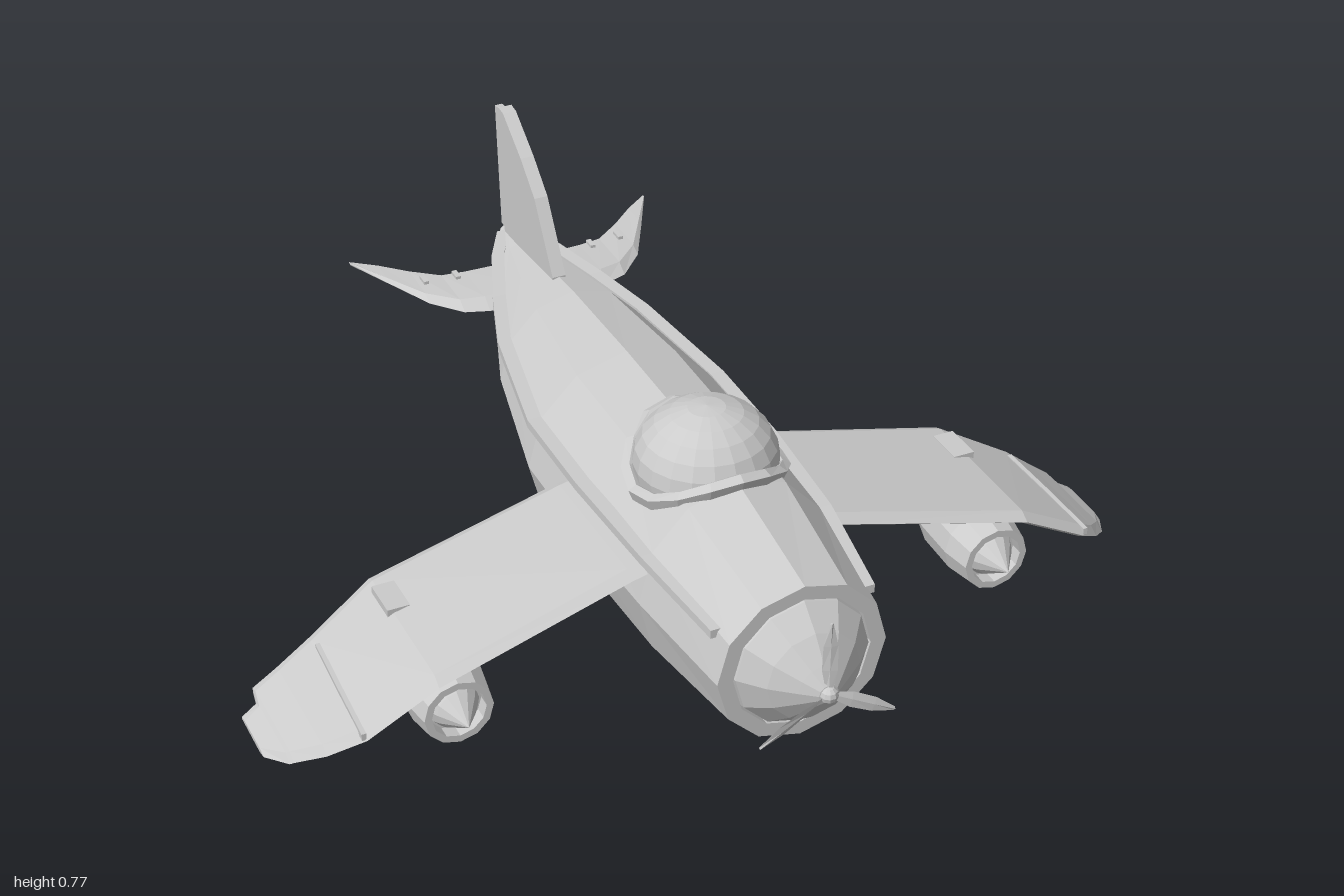
import * as THREE from 'three';

const material = new THREE.MeshStandardMaterial({ color: 0xcccccc, flatShading: true, side: THREE.DoubleSide });

// Swap two corners of every triangle
function flip(g) {
  const p = g.attributes.position;
  const a = new THREE.Vector3(), b = new THREE.Vector3();
  for (let i = 0; i < p.count; i += 3) {
    a.fromBufferAttribute(p, i + 1);
    b.fromBufferAttribute(p, i + 2);
    p.setXYZ(i + 1, b.x, b.y, b.z);
    p.setXYZ(i + 2, a.x, a.y, a.z);
  }
  g.computeVertexNormals();
  return g;
}

// Skin a row of equal-length loops of [x, y, z]; closed joins the last loop to the first
function loft(loops, closed = false) {
  const out = [], n = loops[0].length, m = loops.length;
  for (let i = 0; i < (closed ? m : m - 1); i++) {
    const A = loops[i], B = loops[(i + 1) % m];
    for (let j = 0; j < n; j++) {
      const k = (j + 1) % n;
      out.push(A[j], B[j], B[k], A[j], B[k], A[k]);
    }
  }
  if (!closed) for (const [L, end] of [[loops[0], false], [loops[m - 1], true]]) {
    const c = [0, 1, 2].map(d => L.reduce((s, p) => s + p[d], 0) / n);
    for (let j = 0; j < n; j++) {
      const k = (j + 1) % n;
      out.push(...(end ? [c, L[k], L[j]] : [c, L[j], L[k]]));
    }
  }
  const g = new THREE.BufferGeometry();
  g.setAttribute('position', new THREE.Float32BufferAttribute(out.flat(), 3));
  // Signed volume tells whether the faces point outwards
  let volume = 0;
  const v = out.map(p => new THREE.Vector3(...p));
  for (let i = 0; i < v.length; i += 3) volume += v[i].dot(v[i + 1].clone().cross(v[i + 2]));
  if (volume < 0) flip(g);
  g.computeVertexNormals();
  return g;
}

// Square bar along a list of points
const bar = (pts, w, h) => loft(pts.map(([x, y, z]) =>
  [[x - w, y - h, z], [x + w, y - h, z], [x + w, y + h, z], [x - w, y + h, z]]));

// Ring in the XY plane: half width, half height, centre height, depth
const ring = (rx, ry, cy, z, n = 12) => Array.from({ length: n }, (_, i) => {
  const a = i / n * Math.PI * 2;
  return [rx * Math.sin(a), cy + ry * Math.cos(a), z];
});

// Turned part whose axis runs along z; profile points are [radius, z]
const turned = (profile, n) => new THREE.LatheGeometry(profile.map(p => new THREE.Vector2(...p)), n)
  .rotateX(Math.PI / 2);

export function createModel() {
  const model = new THREE.Group();
  const add = (name, g, parent = model) => {
    const mesh = new THREE.Mesh(g, material);
    mesh.name = name;
    parent.add(mesh);
    return mesh;
  };
  const addPair = (name, g) => {
    const left = g.index ? g.toNonIndexed() : g;
    add(name + 'Left', left);
    add(name + 'Right', flip(left.clone().scale(-1, 1, 1)));
  };

  // Fuselage, starting inside the recessed nose ring
  add('fuselage', loft([
    [0.155, 0.155, 0.255, 0.69], [0.155, 0.155, 0.255, 0.725],
    [0.19, 0.187, 0.255, 0.725], [0.222, 0.24, 0.26, 0.42],
    [0.236, 0.24, 0.26, 0.13], [0.236, 0.24, 0.26, -0.13],
    [0.182, 0.188, 0.303, -0.42], [0.13, 0.138, 0.34, -0.57],
    [0.07, 0.072, 0.393, -0.71], [0.02, 0.018, 0.442, -0.81],
  ].map(s => ring(...s))));

  // Spinner and propeller
  add('spinner', turned([[0.155, 0.69], [0.15, 0.725], [0.105, 0.775], [0.055, 0.815], [0.022, 0.84], [0, 0.845]], 12)
    .translate(0, 0.255, 0));
  add('propellerHub', new THREE.SphereGeometry(0.02, 10, 6).translate(0, 0.255, 0.84));
  const propeller = new THREE.Group();
  propeller.name = 'propeller';
  propeller.position.set(0, 0.255, 0.84);
  model.add(propeller);
  for (let i = 0; i < 3; i++) {
    const blade = loft([[0.01, 0.007, 0.6], [0.06, 0.016, 0.4], [0.12, 0.015, 0.25], [0.175, 0.004, 0.15]]
      .map(([y, w, twist]) => [[-w, 0], [0, 0.003], [w, 0], [0, -0.003]].map(([u, v]) =>
        [u * Math.cos(twist) - v * Math.sin(twist), y, u * Math.sin(twist) + v * Math.cos(twist)])));
    add('propellerBlade', blade, propeller).rotation.z = i * Math.PI * 2 / 3;
  }

  // Canopy dome and its saddle-shaped rim
  add('canopy', new THREE.SphereGeometry(1, 20, 12).scale(0.156, 0.13, 0.152).translate(0, 0.47, 0.272));
  const rim = Array.from({ length: 16 }, (_, i) => {
    const a = i / 16 * Math.PI * 2, c = Math.cos(a), s = Math.sin(a);
    const y = 0.425 + 0.08 * c * c;
    return [[0.145, -0.02], [0.166, -0.02], [0.178, 0.012], [0.16, 0.022], [0.145, 0.012]]
      .map(([r, h]) => [r * s, y + h, 0.272 + r * c]);
  });
  add('canopyRim', loft(rim, true));

  // Raised rail along each side
  addPair('sideRail', bar([
    [0.168, 0.35, 0.68], [0.203, 0.37, 0.42], [0.22, 0.374, 0.13], [0.22, 0.374, -0.13],
    [0.17, 0.397, -0.42], [0.12, 0.417, -0.57], [0.065, 0.437, -0.71], [0.018, 0.448, -0.79],
  ], 0.016, 0.01));

  // Drooping wings: x, leading z, trailing z, height, half thickness
  const wing = [
    [0.12, 0.42, 0.025, 0.342, 0.017], [0.24, 0.425, 0.03, 0.318, 0.017],
    [0.68, 0.462, 0.058, 0.218, 0.016], [0.835, 0.455, 0.095, 0.132, 0.016],
    [0.905, 0.4, 0.088, 0.075, 0.014], [0.958, 0.342, 0.08, 0.033, 0.012],
    [0.965, 0.335, 0.125, 0.027, 0.012], [1.0, 0.27, 0.13, 0.009, 0.006],
  ];
  addPair('wing', loft(wing.map(([x, f, b, y, t]) => {
    const tilt = z => y + (z - 0.25) * 0.05 * (1 - x * 0.9);
    return [[f, 0], [f - 0.025, t], [b + 0.02, t], [b, t * 0.5], [b, -t * 0.5], [f - 0.025, -t]]
      .map(([z, h]) => [x, tilt(z) + h, z]);
  })));
  addPair('wingFence', bar([[0.84, 0.142, 0.45], [0.835, 0.146, 0.3], [0.828, 0.148, 0.14]], 0.005, 0.008));
  // Small bracket on the upper wing skin
  addPair('wingBracket', bar([[0.668, 0.23, 0.205], [0.668, 0.228, 0.11]], 0.025, 0.013));

  // Underwing engines, hollow at both ends with a cone in each
  const engine = [[0.062, 0.24], [0.062, 0.2], [0.072, 0.2], [0.086, 0.25], [0.088, 0.36], [0.076, 0.43],
    [0.06, 0.43], [0.06, 0.4], [0, 0.4]];
  addPair('engine', turned([[0, 0.24], ...engine], 12).translate(0.628, 0.118, 0));
  addPair('engineNoseCone', turned([[0.058, 0.395], [0.045, 0.42], [0, 0.483]], 12).translate(0.628, 0.118, 0));
  addPair('engineTailCone', turned([[0, 0.19], [0.04, 0.245]], 12).translate(0.628, 0.118, 0));
  addPair('enginePylon', new THREE.BoxGeometry(0.03, 0.05, 0.16).translate(0.628, 0.207, 0.31));

  // Tail fin and rudder, swept from side outlines of [z, y]
  const plate = (outline, t) => {
    const shape = new THREE.Shape(outline.map(([z, y]) => new THREE.Vector2(-z, y)));
    return new THREE.ExtrudeGeometry(shape, { depth: 2 * t, bevelEnabled: false })
      .rotateY(Math.PI / 2).translate(-t, 0, 0);
  };
  add('tailFin', plate([[-0.5, 0.46], [-0.5, 0.485], [-0.598, 0.64], [-0.675, 0.705], [-0.775, 0.772],
    [-0.802, 0.775], [-0.785, 0.44]], 0.016));
  add('rudder', plate([[-0.802, 0.765], [-0.842, 0.76], [-0.822, 0.46], [-0.785, 0.455]], 0.009));

  // Swept tailplanes: x, leading z, trailing z, height, half thickness
  const tail = [
    [0.03, -0.55, -0.71, 0.408, 0.024], [0.145, -0.565, -0.72, 0.405, 0.02],
    [0.2, -0.583, -0.73, 0.404, 0.016], [0.262, -0.645, -0.775, 0.404, 0.011],
    [0.32, -0.752, -0.826, 0.404, 0.007], [0.376, -0.858, -0.866, 0.404, 0.003],
  ];
  addPair('tailplane', loft(tail.map(([x, f, b, y, t]) => {
    const m = f + (b - f) * 0.2, tilt = z => y - (z + 0.7) * 0.08;
    return [[f, 0], [m, t], [b, t * 0.4], [b, -t * 0.4], [m, -t]].map(([z, h]) => [x, tilt(z) + h, z]);
  })));
  // Elevator hinges
  for (const [x, z] of [[0.17, -0.71], [0.245, -0.72]])
    addPair('elevatorHinge', new THREE.BoxGeometry(0.012, 0.018, 0.03).translate(x, 0.412, z));

  return model;
}
